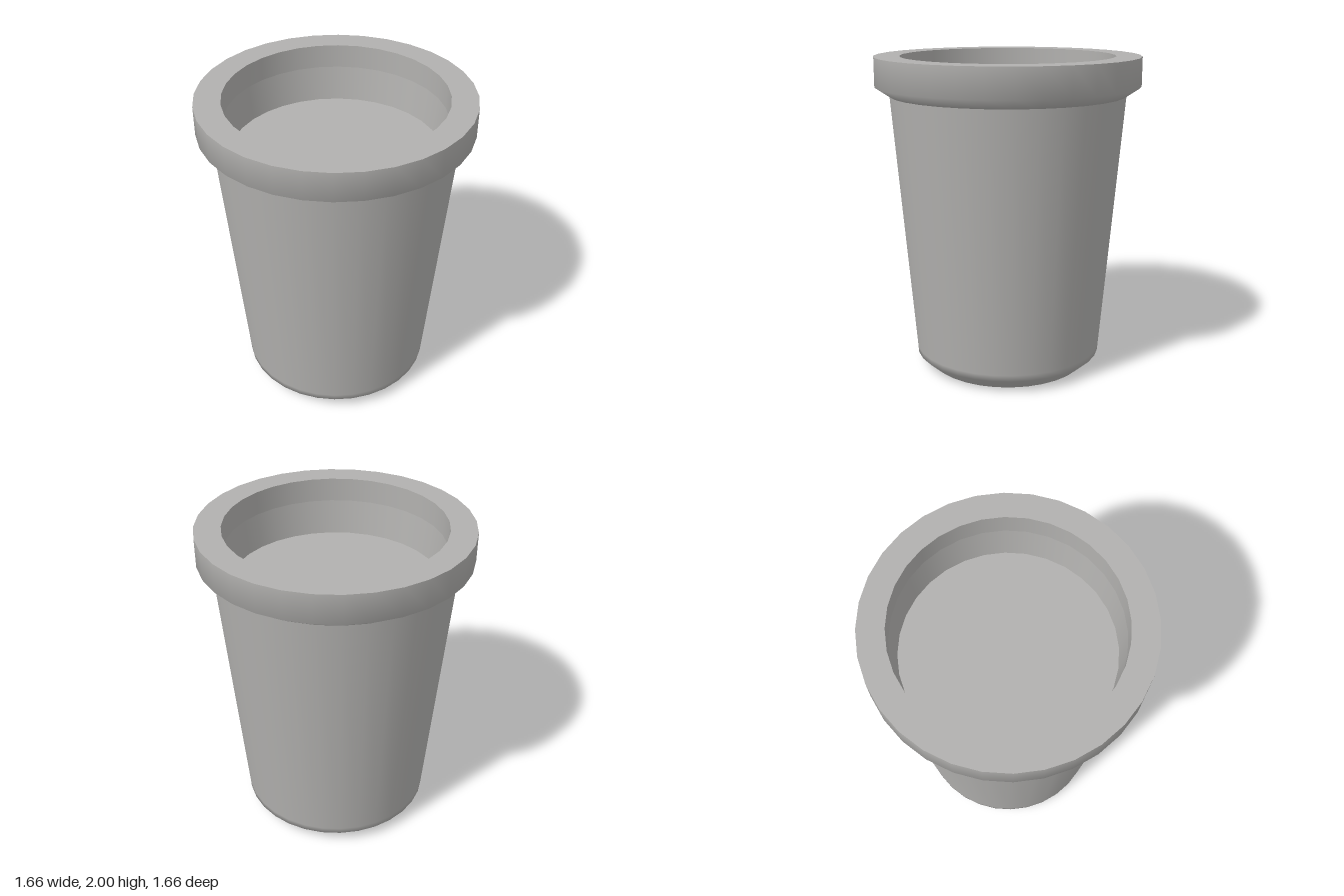
import * as THREE from 'three';

const SIDES = 32;

export function createModel() {
  const pot = new THREE.Group();
  pot.name = 'pot';
  const clay = new THREE.MeshStandardMaterial({ color: 0xb2b1af });
  clay.name = 'grey clay';

  // Each profile is smooth along its length; separate profiles meet at sharp edges.
  function turned(name, profile) {
    const points = profile.map(([r, y]) => new THREE.Vector2(r, y));
    const mesh = new THREE.Mesh(new THREE.LatheGeometry(points, SIDES), clay);
    mesh.name = name;
    pot.add(mesh);
  }

  // Underside, then the tapered wall with its bevelled foot
  turned('base', [[0, 0], [0.51, 0]]);
  turned('body', [[0.51, 0], [0.6, 0.08], [0.603, 0.12], [0.74, 1.76]]);

  // Thick rim with a bevelled lower edge and a flat top
  turned('rim', [[0.74, 1.76], [0.83, 1.82], [0.83, 2]]);
  turned('rimTop', [[0.83, 2], [0.67, 2]]);

  // Straight inner lip, sloping inner wall and the raised floor
  turned('innerLip', [[0.67, 2], [0.67, 1.85]]);
  turned('innerWall', [[0.67, 1.85], [0.645, 1.63]]);
  turned('floor', [[0.645, 1.63], [0, 1.63]]);

  return pot;
}
